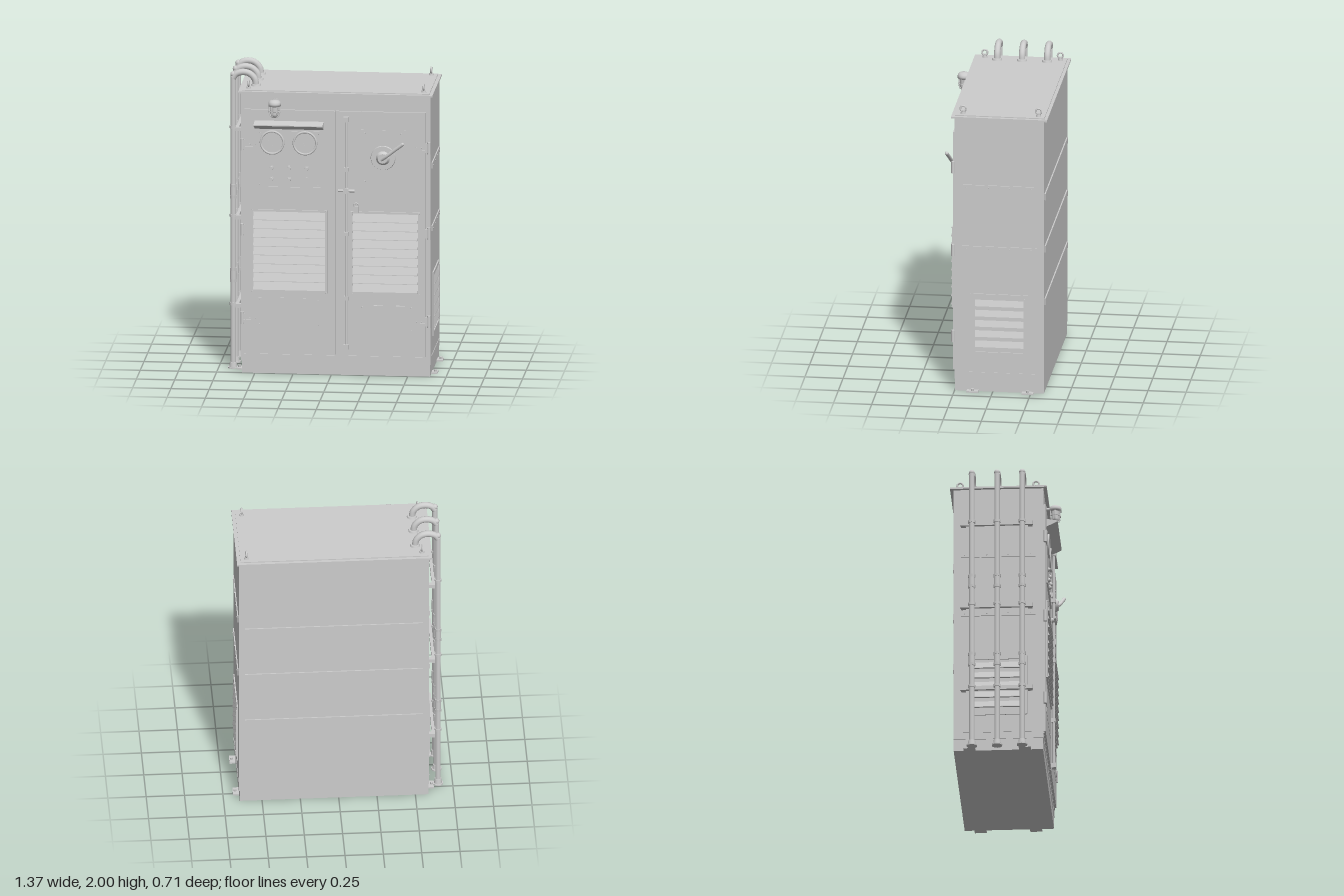
import * as THREE from 'three';

export function createModel() {
  const root = new THREE.Group();
  root.name = 'electricalCabinet';
  const grey = new THREE.MeshStandardMaterial({ color: 0xcccccc });
  grey.name = 'paintedGrey';
  const V = (x, y, z) => new THREE.Vector3(x, y, z);

  const add = (parent, name, geo) => {
    const m = new THREE.Mesh(geo, grey);
    m.name = name;
    parent.add(m);
    return m;
  };
  const group = (name, parent = root) => {
    const g = new THREE.Group();
    g.name = name;
    parent.add(g);
    return g;
  };
  // Box given by its limits
  const box = (p, name, x0, x1, y0, y1, z0, z1) =>
    add(p, name, new THREE.BoxGeometry(x1 - x0, y1 - y0, z1 - z0)
      .translate((x0 + x1) / 2, (y0 + y1) / 2, (z0 + z1) / 2));
  // Cylinder or cone between two points
  const rod = (p, name, a, b, r0, r1 = r0, seg = 20) => {
    const d = b.clone().sub(a);
    const m = add(p, name, new THREE.CylinderGeometry(r1, r0, d.length(), seg));
    m.position.copy(a).addScaledVector(d, 0.5);
    m.quaternion.setFromUnitVectors(V(0, 1, 0), d.normalize());
    return m;
  };
  const tube = (p, name, pts, r, seg = 40) =>
    add(p, name, new THREE.TubeGeometry(new THREE.CatmullRomCurve3(pts), seg, r, 14));
  // Profile of [z, y] points extruded along x
  const prism = (p, name, pts, x0, x1) => {
    const s = new THREE.Shape(pts.map(q => new THREE.Vector2(q[0], q[1])));
    const g = new THREE.ExtrudeGeometry(s, { depth: x1 - x0, bevelEnabled: false });
    return add(p, name, g.rotateY(-Math.PI / 2).translate(x1, 0, 0));
  };
  // Rectangular frame of four bars
  const frame = (p, name, x0, x1, y0, y1, z0, z1, t) => {
    box(p, name, x0, x1, y1 - t, y1, z0, z1);
    box(p, name, x0, x1, y0, y0 + t, z0, z1);
    box(p, name, x0, x0 + t, y0 + t, y1 - t, z0, z1);
    box(p, name, x1 - t, x1, y0 + t, y1 - t, z0, z1);
  };
  const screw = (p, x, y, z) => rod(p, 'screw', V(x, y, z), V(x, y, z + 0.004), 0.005, 0.004, 8);
  const cornerScrews = (p, x0, x1, y0, y1, z) => {
    for (const x of [x0, x1]) for (const y of [y0, y1]) screw(p, x, y, z);
  };

  // Housing, roof and plinth
  const housing = group('housing');
  box(housing, 'body', -0.59, 0.65, 0.08, 1.87, -0.335, 0.25);
  box(housing, 'plinth', -0.585, 0.645, 0, 0.08, -0.335, 0.247);
  box(housing, 'roofFlange', -0.608, 0.663, 1.872, 1.884, -0.358, 0.272);
  box(housing, 'roofPanel', -0.585, 0.64, 1.884, 1.89, -0.337, 0.248);
  box(housing, 'plinthTrim', -0.57, 0.625, 0.123, 0.13, 0.25, 0.255);
  for (const y of [0.62, 0.98, 1.34])
    box(housing, 'backRib', -0.55, 0.61, y - 0.022, y + 0.022, -0.343, -0.335);

  // Lifting eyes
  for (const x of [-0.545, 0.6]) for (const z of [-0.295, 0.2]) {
    const eye = group('liftingEye');
    rod(eye, 'eyeBase', V(x, 1.885, z), V(x, 1.902, z), 0.017, 0.014);
    rod(eye, 'eyeStem', V(x, 1.9, z), V(x, 1.912, z), 0.008);
    add(eye, 'eyeRing', new THREE.TorusGeometry(0.018, 0.006, 10, 24)
      .rotateY(Math.PI / 2).translate(x, 1.923, z));
  }

  // Feet
  for (const [x0, x1, bx] of [[-0.625, -0.56, -0.612], [0.62, 0.685, 0.67]])
    for (const z of [0.13, -0.232]) {
      const foot = group('foot');
      box(foot, 'footPlate', x0, x1, 0, 0.01, z - 0.039, z + 0.039);
      rod(foot, 'footBolt', V(bx, 0.01, z), V(bx, 0.024, z), 0.01, 0.01, 6);
    }

  // Doors
  const doors = group('doors');
  box(doors, 'leftSideDoor', 0.031, 0.618, 0.135, 1.765, 0.25, 0.264);
  box(doors, 'rightSideDoor', -0.568, 0.018, 0.135, 1.765, 0.25, 0.264);
  box(doors, 'doorOverlap', 0.02, 0.029, 0.135, 1.765, 0.25, 0.268);
  for (const y of [0.37, 0.96, 1.53]) for (const s of [-1, 1]) {
    const cx = s > 0 ? 0.639 : -0.582;
    const hinge = group('hinge', doors);
    rod(hinge, 'hingeBarrel', V(cx, y - 0.04, 0.262), V(cx, y + 0.04, 0.262), 0.011);
    const a = cx - s * 0.025;
    box(hinge, 'hingeLeaf', Math.min(cx, a), Math.max(cx, a), y - 0.03, y + 0.03, 0.25, 0.268);
    if (y !== 0.96) {
      const b = cx - s * 0.11;
      box(hinge, 'hingeStrap', Math.min(cx, b), Math.max(cx, b), y - 0.022, y - 0.012, 0.26, 0.269);
      for (const d of [0.05, 0.085]) screw(hinge, cx - s * d, y, 0.264);
    }
  }

  // Louvered vents on the doors
  const doorVent = (x0, x1) => {
    const vent = group('doorVent', doors);
    frame(vent, 'ventFrame', x0, x1, 0.545, 1.1, 0.26, 0.274, 0.014);
    const n = 9, h = 0.527 / n;
    for (let i = 0; i < n; i++) {
      const y = 0.559 + i * h;
      prism(vent, 'slat', [[0.26, y], [0.284, y + 0.002], [0.284, y + 0.006], [0.265, y + h], [0.26, y + h]],
        x0 + 0.014, x1 - 0.014);
    }
    cornerScrews(vent, x0 + 0.008, x1 - 0.008, 0.55, 1.094, 0.274);
  };
  doorVent(-0.522, -0.025);
  doorVent(0.128, 0.582);

  // Cover plates low on the doors
  for (const [x0, x1, y0, y1] of [[-0.485, -0.07, 0.315, 0.51], [0.19, 0.54, 0.295, 0.474]]) {
    box(doors, 'coverPlate', x0, x1, y0, y1, 0.262, 0.266);
    cornerScrews(doors, x0 + 0.015, x1 - 0.015, y0 + 0.015, y1 - 0.015, 0.266);
  }
  box(doors, 'coverLip', 0.2, 0.53, 0.466, 0.472, 0.264, 0.272);

  // Instrument panel with gauges, buttons and rain hood
  const panel = group('instrumentPanel');
  box(panel, 'panelPlate', -0.48, -0.07, 1.245, 1.625, 0.262, 0.268);
  box(panel, 'panelLip', -0.48, -0.07, 1.245, 1.252, 0.264, 0.274);
  cornerScrews(panel, -0.465, -0.085, 1.265, 1.61, 0.268);
  prism(panel, 'rainHood', [[0.262, 1.635], [0.338, 1.672], [0.338, 1.678], [0.262, 1.692]], -0.5, -0.05);
  for (const x of [-0.385, -0.17]) {
    rod(panel, 'gaugeFace', V(x, 1.548, 0.264), V(x, 1.548, 0.275), 0.076, 0.076, 40);
    add(panel, 'gaugeRim', new THREE.TorusGeometry(0.074, 0.007, 10, 48).translate(x, 1.548, 0.274));
    const needle = box(panel, 'gaugeNeedle', -0.002, 0.002, 0, 0.05, 0, 0.002);
    needle.position.set(x, 1.525, 0.275);
    needle.rotation.z = 0.6;
  }
  for (const x of [-0.39, -0.275, -0.16]) for (const y of [1.378, 1.303]) {
    rod(panel, 'buttonCollar', V(x, y, 0.266), V(x, y, 0.274), 0.017);
    if (x > -0.2 && y < 1.35) box(panel, 'selectorSwitch', x - 0.004, x + 0.004, y - 0.015, y + 0.015, 0.272, 0.288);
    else rod(panel, 'button', V(x, y, 0.274), V(x, y, 0.284), 0.013, 0.011);
  }

  // Caged lamp above the panel
  const lamp = group('lamp');
  const lx = -0.365, lz = 0.315;
  add(lamp, 'lampCap', new THREE.LatheGeometry([[0, 1.843], [0.026, 1.84], [0.038, 1.832], [0.041, 1.818],
    [0.041, 1.803], [0, 1.803]].map(p => new THREE.Vector2(...p)).reverse(), 28)).position.set(lx, 0, lz);
  rod(lamp, 'lampGlass', V(lx, 1.75, lz), V(lx, 1.805, lz), 0.025, 0.027);
  add(lamp, 'lampGlassEnd', new THREE.SphereGeometry(0.025, 20, 12)).position.set(lx, 1.75, lz);
  for (let i = 0; i < 6; i++) {
    const c = Math.cos(i * Math.PI / 3), s = Math.sin(i * Math.PI / 3);
    tube(lamp, 'cageWire', [[0.035, 1.805], [0.035, 1.76], [0.026, 1.735], [0, 1.724]]
      .map(([r, y]) => V(lx + r * c, y, lz + r * s)), 0.0032, 14);
  }
  add(lamp, 'cageRing', new THREE.TorusGeometry(0.035, 0.003, 8, 28).rotateX(Math.PI / 2).translate(lx, 1.768, lz));
  rod(lamp, 'lampArm', V(lx, 1.82, 0.25), V(lx, 1.82, lz), 0.012);
  rod(lamp, 'lampMount', V(lx, 1.82, 0.25), V(lx, 1.82, 0.258), 0.022);

  // Locking rod with guides and cross handle
  const lock = group('lockingRod');
  rod(lock, 'rod', V(0.1, 0.18, 0.278), V(0.1, 1.73, 0.278), 0.008);
  for (const y of [0.195, 1.715]) box(lock, 'endGuide', 0.083, 0.117, y - 0.016, y + 0.016, 0.262, 0.293);
  for (const y of [0.52, 0.95, 1.38]) box(lock, 'rodGuide', 0.086, 0.114, y - 0.013, y + 0.013, 0.262, 0.29);
  rod(lock, 'handleHub', V(0.1, 1.24, 0.262), V(0.1, 1.24, 0.3), 0.018);
  rod(lock, 'crossHandle', V(0.048, 1.24, 0.288), V(0.155, 1.24, 0.288), 0.009);
  box(lock, 'padlockBody', 0.148, 0.182, 1.09, 1.135, 0.262, 0.288);
  add(lock, 'padlockShackle', new THREE.TorusGeometry(0.012, 0.005, 10, 20, Math.PI).translate(0.165, 1.143, 0.275));
  for (const x of [0.153, 0.177]) rod(lock, 'shackleLeg', V(x, 1.13, 0.275), V(x, 1.145, 0.275), 0.005);

  // Main switch with lever
  const sw = group('mainSwitch');
  box(sw, 'switchPlate', 0.195, 0.485, 1.285, 1.645, 0.262, 0.266);
  cornerScrews(sw, 0.22, 0.46, 1.305, 1.622, 0.266);
  rod(sw, 'switchDisc', V(0.34, 1.46, 0.264), V(0.34, 1.46, 0.276), 0.082, 0.078, 40);
  rod(sw, 'switchBoss', V(0.34, 1.46, 0.276), V(0.34, 1.46, 0.296), 0.046, 0.032, 32);
  tube(sw, 'lever', [V(0.33, 1.452, 0.288), V(0.365, 1.48, 0.303), V(0.41, 1.517, 0.312), V(0.472, 1.566, 0.324)], 0.012);
  add(sw, 'leverTip', new THREE.SphereGeometry(0.012, 14, 10)).position.set(0.472, 1.566, 0.324);

  // Side trim: ribs and louvered vent, drawn facing +z then turned outward
  for (const s of [-1, 1]) {
    const side = group(s > 0 ? 'leftSideTrim' : 'rightSideTrim');
    side.position.x = s > 0 ? 0.65 : -0.59;
    side.rotation.y = s * Math.PI / 2;
    const sx = (a, b) => (s > 0 ? [a, b] : [-b, -a]);
    for (const y of [0.98, 1.4]) {
      const [a, b] = sx(-0.2, 0.29);
      box(side, 'sideRib', a, b, y - 0.018, y + 0.018, 0, 0.007);
      for (const t of [0.05, 0.35, 0.63, 0.92]) screw(side, a + (b - a) * t, y, 0.006);
    }
    const [a, b] = sx(-0.145, 0.232);
    frame(side, 'sideVentFrame', a, b, 0.25, 0.672, 0, 0.008, 0.024);
    for (let i = 0; i < 5; i++) {
      const y = 0.305 + i * 0.07, [c, d] = sx(-0.115, 0.205);
      prism(side, 'sideSlat', [[0, y], [0.014, y], [0.014, y + 0.004], [0, y + 0.045]], c, d);
    }
    const [e, f] = sx(0.205, 0.23);
    box(side, 'ventEdgeBar', e, f, 0.28, 0.645, 0, 0.013);
    const [g, h] = sx(-0.2, 0.3);
    box(side, 'sideSeam', g, h, 0.127, 0.133, 0, 0.003);
  }

  // Conduits rising along the side and bending into the roof
  const conduits = group('conduits');
  const px = -0.655;
  for (const z of [0.115, -0.048, -0.213]) {
    const c = group('conduit', conduits);
    rod(c, 'baseFlange', V(px, 0, z), V(px, 0.008, z), 0.034);
    rod(c, 'baseSocket', V(px, 0.008, z), V(px, 0.04, z), 0.026, 0.022);
    rod(c, 'riser', V(px, 0.03, z), V(px, 1.96, z), 0.0175);
    add(c, 'riserTop', new THREE.SphereGeometry(0.0195, 16, 10)).position.set(px, 1.962, z);
    tube(c, 'bend', [V(px, 1.94, z), V(-0.635, 1.965, z), V(-0.595, 1.978, z), V(-0.55, 1.97, z),
      V(-0.515, 1.935, z), V(-0.505, 1.885, z)], 0.021);
    rod(c, 'roofFlange', V(-0.505, 1.885, z), V(-0.505, 1.902, z), 0.035, 0.03);
    for (const [y0, y1] of [[1.135, 1.23], [0.575, 0.67]]) {
      rod(c, 'coupling', V(px, y0, z), V(px, y1, z), 0.0205);
      for (const y of [y0, y1 - 0.02]) rod(c, 'couplingNut', V(px, y, z), V(px, y + 0.02, z), 0.024, 0.024, 6);
    }
    for (const y of [0.43, 1.02, 1.61])
      rod(c, 'pipeClamp', V(px, y - 0.009, z), V(px, y + 0.009, z), 0.023);
  }
  for (const y of [0.43, 1.02, 1.61]) {
    box(conduits, 'supportRail', -0.632, -0.612, y - 0.013, y + 0.013, -0.29, 0.183);
    for (const z of [-0.27, 0.165])
      box(conduits, 'railStandoff', -0.614, -0.588, y - 0.012, y + 0.012, z - 0.015, z + 0.015);
  }

  return root;
}
